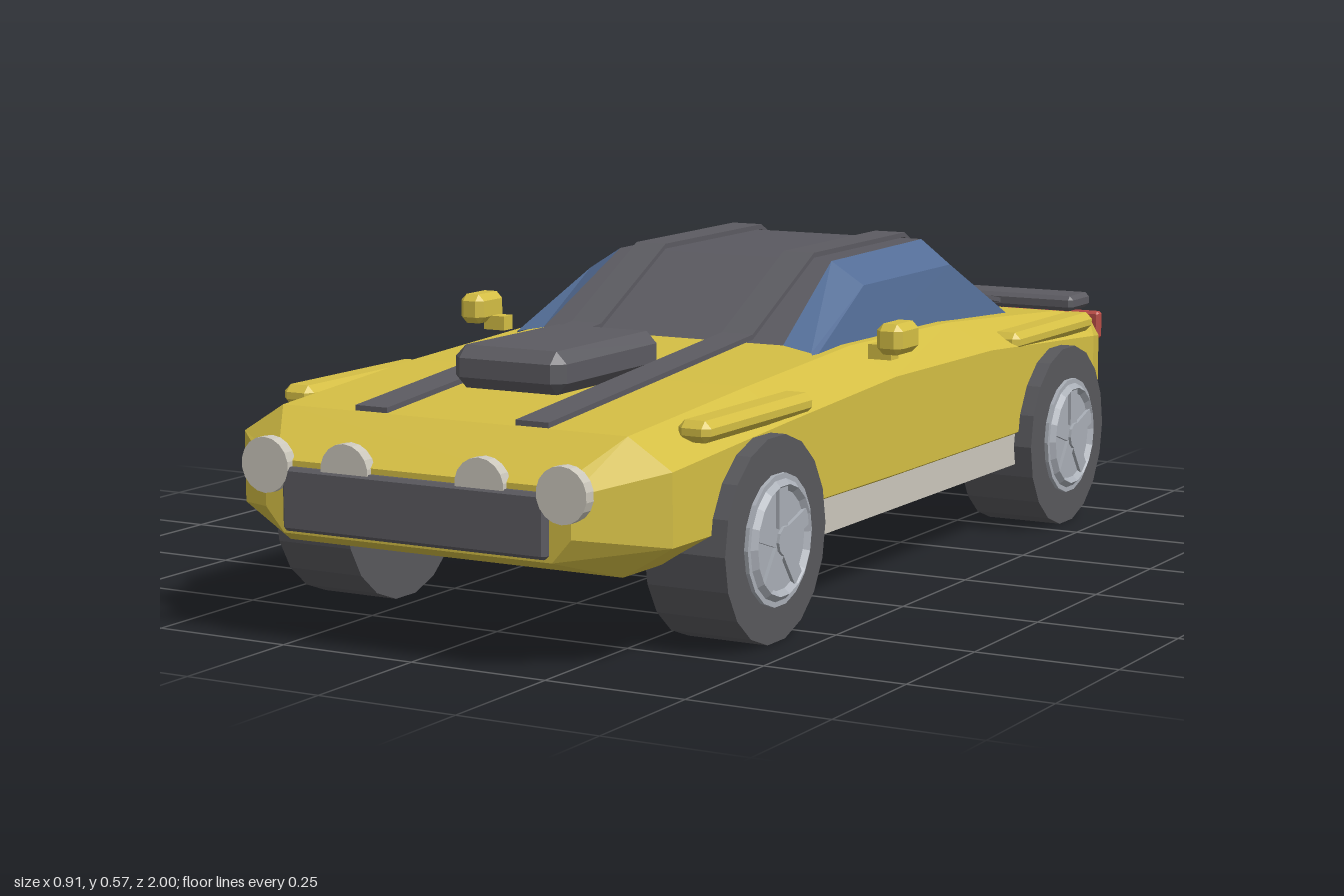
import * as THREE from 'three';
import { ConvexGeometry } from 'three/addons/geometries/ConvexGeometry.js';

const material = (name, color, extra = {}) =>
  Object.assign(new THREE.MeshStandardMaterial({ color, flatShading: true, ...extra }), { name });

// Joins equal-length rings of [x, y, z] points, front to back
function loft(rings, closed = true) {
  const pos = [];
  const tri = (...pts) => pts.forEach((p) => pos.push(...p));
  const n = rings[0].length;
  for (let s = 0; s < rings.length - 1; s++) {
    const a = rings[s], b = rings[s + 1];
    for (let i = 0; i < (closed ? n : n - 1); i++) {
      const j = (i + 1) % n;
      tri(a[i], b[i], b[j]);
      tri(a[i], b[j], a[j]);
    }
  }
  if (closed) {
    const f = rings[0], r = rings[rings.length - 1];
    for (let i = 1; i < n - 1; i++) {
      tri(f[0], f[i], f[i + 1]);
      tri(r[0], r[i + 1], r[i]);
    }
  }
  const g = new THREE.BufferGeometry();
  g.setAttribute('position', new THREE.Float32BufferAttribute(pos, 3));
  g.computeVertexNormals();
  return g;
}

// Box with all edges chamfered by c
function chamferBox(w, h, d, c) {
  const pts = [];
  for (const x of [-1, 1]) for (const y of [-1, 1]) for (const z of [-1, 1]) {
    const p = (a, b, e) => pts.push(new THREE.Vector3(x * (w / 2 - a), y * (h / 2 - b), z * (d / 2 - e)));
    p(0, c, c); p(c, 0, c); p(c, c, 0);
  }
  return new ConvexGeometry(pts);
}

export function createModel() {
  const car = new THREE.Group();
  car.name = 'sportsCar';
  const paint = material('yellowPaint', 0xd4be44);
  const trim = material('darkTrim', 0x5c5b61);
  const glass = material('blueGlass', 0x536d96, { side: THREE.DoubleSide });
  const roofMat = material('darkRoof', 0x5a5960, { side: THREE.DoubleSide });
  const rubber = material('tyreRubber', 0x58585c);
  const metal = material('wheelMetal', 0xa9aeb6);
  const lamp = material('paleLamp', 0xcbc7bc);
  const red = material('redLamp', 0xb84c46);

  const add = (name, geo, mat, x = 0, y = 0, z = 0, parent = car) => {
    const m = new THREE.Mesh(geo, mat);
    m.name = name;
    m.position.set(x, y, z);
    parent.add(m);
    return m;
  };

  // Body: octagonal sections [z, bottom, middle, top half widths, four heights]
  const sections = [
    [0.985, 0.255, 0.29, 0.265, 0.185, 0.225, 0.292, 0.305],
    [0.88, 0.32, 0.41, 0.33, 0.15, 0.205, 0.325, 0.375],
    [0.5, 0.32, 0.41, 0.33, 0.147, 0.203, 0.35, 0.402],
    [0.1, 0.32, 0.41, 0.32, 0.145, 0.2, 0.373, 0.422],
    [-0.3, 0.32, 0.41, 0.32, 0.145, 0.2, 0.37, 0.416],
    [-0.78, 0.32, 0.41, 0.33, 0.153, 0.2, 0.34, 0.385],
    [-0.985, 0.26, 0.335, 0.31, 0.19, 0.22, 0.312, 0.355],
  ];
  add('body', loft(sections.map(([z, b, m, t, yb, yl, yu, yt]) => {
    const half = [[b, yb, z], [m, yl, z], [m, yu, z], [t, yt, z]];
    return [...half, ...half.map(([x, y]) => [-x, y, z]).reverse()];
  })), paint);

  // Cabin: half sections from the sill to the roof edge
  const cabin = [
    [[0.307, 0.41], [0.3, 0.42], [0.245, 0.43], 0.21],
    [[0.303, 0.41], [0.285, 0.513], [0.22, 0.553], -0.02],
    [[0.298, 0.405], [0.28, 0.513], [0.22, 0.558], -0.39],
    [[0.297, 0.385], [0.285, 0.395], [0.23, 0.415], -0.635],
  ];
  const left = cabin.map((s) => s.slice(0, 3).map(([x, y]) => [x, y, s[3]]));
  const right = left.map((r) => r.map(([x, y, z]) => [-x, y, z]).reverse());
  add('leftWindows', loft(left, false), glass);
  add('rightWindows', loft(right, false), glass);
  add('roofAndScreens', loft(left.map((r, i) => [r[2], right[i][0]]), false), roofMat);

  // Ribbon stripes running from nose to tail
  const path = [[0.88, 0.376], [0.21, 0.436], [-0.02, 0.557], [-0.39, 0.56], [-0.64, 0.424], [-0.87, 0.38]];
  const stripeShape = new THREE.Shape([
    ...path.map(([z, y]) => new THREE.Vector2(z, y)),
    ...path.map(([z, y]) => new THREE.Vector2(z, y + 0.009)).reverse(),
  ]);
  const stripeGeo = new THREE.ExtrudeGeometry(stripeShape, { depth: 0.062, bevelEnabled: false });
  stripeGeo.rotateY(-Math.PI / 2).translate(0.031, 0, 0);

  // Bonnet scoop, spoiler and grille
  add('bonnetScoop', chamferBox(0.216, 0.072, 0.33, 0.02), trim, 0, 0.433, 0.555);
  add('spoiler', chamferBox(0.68, 0.03, 0.095, 0.008), trim, 0, 0.392, -0.88);
  add('grille', chamferBox(0.5, 0.105, 0.025, 0.006), trim, 0, 0.243, 0.986);

  // Three tail lamps
  for (const x of [-0.228, 0, 0.228]) {
    add('tailLamp', chamferBox(0.217, 0.056, 0.022, 0.005), red, x, 0.332, -0.989);
  }

  const tyreGeo = new THREE.CylinderGeometry(0.172, 0.172, 0.148, 18).rotateZ(Math.PI / 2);
  const discGeo = new THREE.CylinderGeometry(0.11, 0.11, 0.012, 18).rotateZ(Math.PI / 2);
  const ringGeo = new THREE.TorusGeometry(0.092, 0.009, 4, 18).rotateY(Math.PI / 2);
  const capGeo = new THREE.CylinderGeometry(0.025, 0.025, 0.016, 10).rotateZ(Math.PI / 2);
  const lampGeo = new THREE.CylinderGeometry(0.046, 0.046, 0.022, 18).rotateX(Math.PI / 2);

  for (const s of [-1, 1]) {
    add('stripe', stripeGeo, trim, s * 0.154);

    // Headlamps, the inner pair half behind the grille
    add('outerHeadlamp', lampGeo, lamp, s * 0.281, 0.296, 0.988);
    add('innerHeadlamp', lampGeo, lamp, s * 0.128, 0.296, 0.984);

    // Rear exhaust block and side sill
    add('exhaust', chamferBox(0.1, 0.05, 0.024, 0.004), trim, s * 0.155, 0.197, -0.988);
    add('sill', new THREE.BoxGeometry(0.06, 0.062, 0.9), s > 0 ? lamp : paint, s * 0.373, 0.168, 0);

    // Mirror on its stalk
    add('mirrorStalk', new THREE.BoxGeometry(0.044, 0.026, 0.03), paint, s * 0.397, 0.42, 0.125);
    add('mirror', chamferBox(0.05, 0.054, 0.085, 0.012), paint, s * 0.428, 0.447, 0.132);

    for (const z of [0.592, -0.592]) {
      // Wing bar above each wheel
      add('wingBar', chamferBox(0.06, 0.036, 0.365, 0.012), paint, s * 0.383, 0.37, z);

      // Wheel with stepped hub and spokes
      const wheel = new THREE.Group();
      wheel.name = 'wheel';
      wheel.position.set(s * 0.364, 0.172, z);
      car.add(wheel);
      add('tyre', tyreGeo, rubber, 0, 0, 0, wheel);
      add('hubDisc', discGeo, metal, s * 0.075, 0, 0, wheel);
      add('hubRing', ringGeo, metal, s * 0.081, 0, 0, wheel);
      add('hubCap', capGeo, metal, s * 0.084, 0, 0, wheel);
      for (let i = 0; i < 5; i++) {
        const a = (i / 5) * Math.PI * 2;
        const spoke = add('spoke', new THREE.BoxGeometry(0.012, 0.08, 0.03), metal,
          s * 0.081, Math.cos(a) * 0.05, Math.sin(a) * 0.05, wheel);
        spoke.rotation.x = a;
      }
    }
  }
  return car;
}
